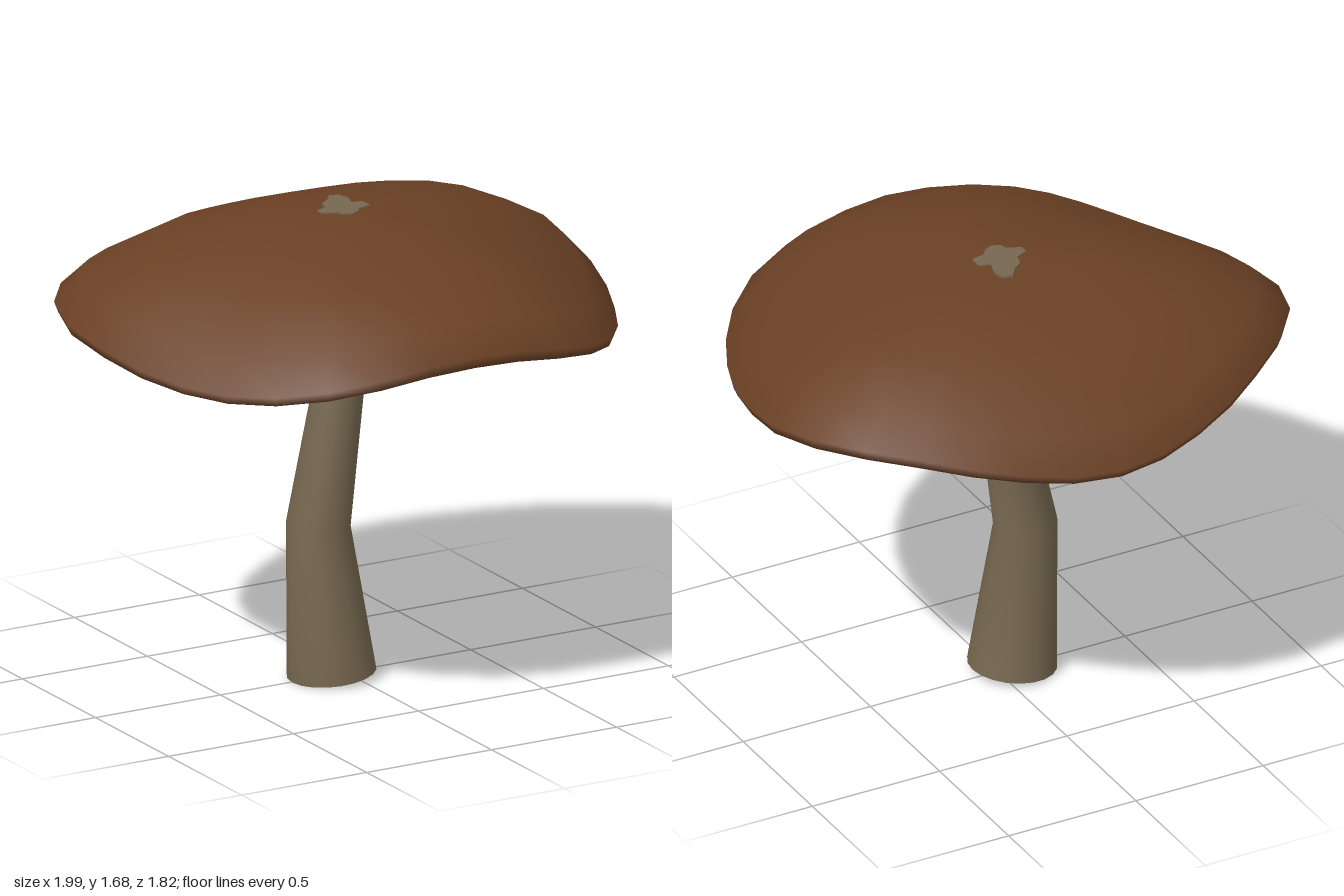
import * as THREE from 'three';

const brown = new THREE.MeshStandardMaterial({ color: 0x6a4024 });
brown.name = 'cap brown';
const grey = new THREE.MeshStandardMaterial({ color: 0x76674f });
grey.name = 'stalk grey';

// Joins rings of points, listed from top to bottom, into a closed surface of revolution
function loft(rowCount, sides, pointAt) {
  const positions = [], index = [];
  for (let i = 0; i < rowCount; i++)
    for (let j = 0; j < sides; j++) positions.push(...pointAt(i, j, (j / sides) * Math.PI * 2));
  for (let i = 0; i < rowCount - 1; i++)
    for (let j = 0; j < sides; j++) {
      const k = (j + 1) % sides;
      const a = i * sides + j, b = i * sides + k, c = a + sides, d = b + sides;
      index.push(a, c, d, a, d, b);
    }
  const geometry = new THREE.BufferGeometry();
  geometry.setAttribute('position', new THREE.Float32BufferAttribute(positions, 3));
  geometry.setIndex(index);
  geometry.computeVertexNormals();
  return geometry;
}

function part(name, geometry, material) {
  const mesh = new THREE.Mesh(geometry, material);
  mesh.name = name;
  return mesh;
}

// Cap: rounded five-cornered outline with a three-fold wave in its height
function makeCap() {
  const sides = 32;
  // outline radius from the front round to the back, mirrored on the other side
  const outline = [0.905, 0.912, 0.942, 0.959, 0.955, 0.943, 0.939, 0.955, 0.98,
    1.016, 1.016, 0.985, 0.945, 0.924, 0.908, 0.907, 0.91];
  // share of the radius, mean height, wave height
  const rows = [
    [0, 1.683, 0], [0.33, 1.67, 0.006], [0.66, 1.58, 0.02], [0.9, 1.44, 0.05],
    [1, 1.34, 0.06], [0.985, 1.305, 0.055],
    [0.63, 1.225, 0.045], [0.26, 1.253, 0.005], [0, 1.27, 0],
  ];
  const geometry = loft(rows.length, sides, (i, j, angle) => {
    const [share, height, wave] = rows[i];
    const r = share * outline[Math.min(j, sides - j)];
    return [r * Math.sin(angle), height + wave * Math.cos(3 * angle), r * Math.cos(angle)];
  });
  // brown down to the lower lip, grey underneath
  const split = 5 * sides * 6;
  geometry.addGroup(0, split, 0);
  geometry.addGroup(split, geometry.index.count - split, 1);
  return part('cap', geometry, [brown, grey]);
}

// Stalk: bent, tapering, flared where it meets the cap, with a tilted foot
function makeStalk() {
  const sides = 20;
  // centre x, y, z, radius, tilt
  const rings = [
    [0.003, 1.27, -0.01, 0.115, 0], [0.003, 1.235, -0.01, 0.105, 0], [0, 1.15, -0.017, 0.085, 0],
    [-0.1125, 0.567, 0.007, 0.112, -0.06], [-0.06, 0.019, 0.007, 0.156, 0.1],
  ];
  const ringPoint = ([x, y, z, r, tilt], angle) =>
    [x + r * Math.sin(angle), y + tilt * r * Math.sin(angle), z + r * Math.cos(angle)];
  const foot = rings[rings.length - 1];
  const centre = [foot[0], foot[1], foot[2], 0, 0];

  const stalk = new THREE.Group();
  stalk.name = 'stalk';
  stalk.add(
    part('stem', loft(rings.length, sides, (i, j, a) => ringPoint(rings[i], a)), grey),
    part('footUnderside', loft(2, sides, (i, j, a) => ringPoint(i ? centre : foot, a)), brown),
  );
  return stalk;
}

// Small ragged pale patch on the crown
function makePatch() {
  const outline = [
    [0.03, -0.165], [0.065, -0.155], [0.075, -0.11], [0.06, -0.06], [0.1, -0.05], [0.1, 0],
    [0.05, 0.01], [0.03, 0.035], [0, 0.05], [-0.03, 0.04], [-0.04, 0.012], [-0.09, -0.01],
    [-0.09, -0.04], [-0.045, -0.06], [-0.035, -0.1], [0, -0.125],
  ].map(([x, z]) => new THREE.Vector2(x, -z));
  const geometry = new THREE.ExtrudeGeometry(new THREE.Shape(outline), { depth: 0.009, bevelEnabled: false });
  geometry.rotateX(-Math.PI / 2).translate(0, 1.676, 0);
  return part('crownPatch', geometry, grey);
}

export function createModel() {
  const mushroom = new THREE.Group();
  mushroom.name = 'mushroom';
  mushroom.add(makeCap(), makeStalk(), makePatch());
  return mushroom;
}
